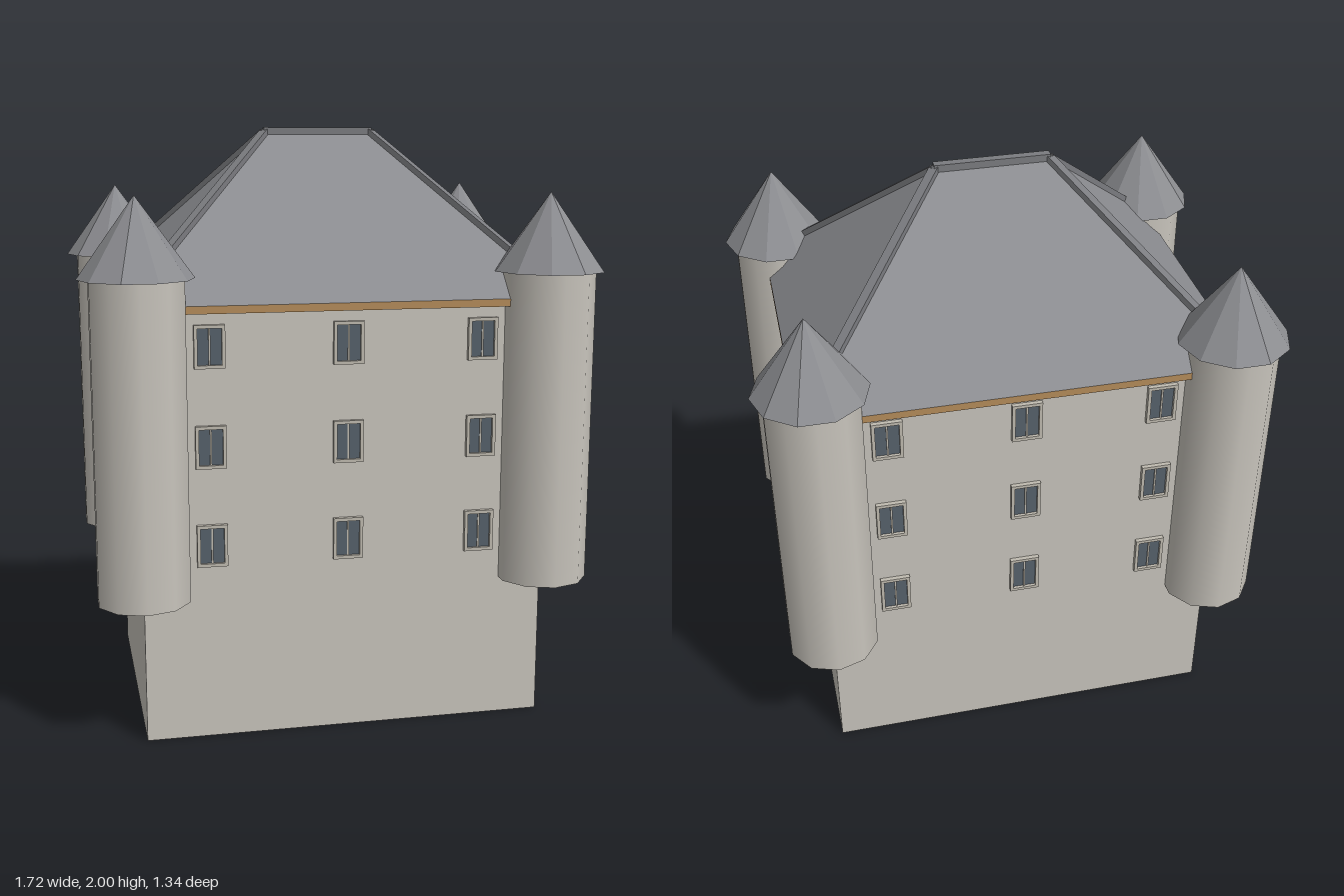
import * as THREE from 'three';

const mat = (name, color, side = THREE.FrontSide, flatShading = false) => {
  const m = new THREE.MeshStandardMaterial({ color, side, flatShading });
  m.name = name;
  return m;
};

export function createModel() {
  const stone = mat('pale stone', 0xc8c4bc, THREE.DoubleSide);
  const slate = mat('grey slate', 0x8c8d91, THREE.DoubleSide, true);
  const ridgeMat = mat('dark ridge slate', 0x7b7c80);
  const wood = mat('tan eaves', 0xb58c5a);
  const frameMat = mat('window stone', 0xc0bbb0);
  const glassMat = mat('dark glass', 0x56616b);

  const root = new THREE.Group();
  root.name = 'castle';
  const add = (parent, name, geo, material, x = 0, y = 0, z = 0) => {
    const m = new THREE.Mesh(geo, material);
    m.name = name;
    m.position.set(x, y, z);
    parent.add(m);
    return m;
  };

  const W = 0.677, D = 0.496, WALL = 1.43; // half width, half depth, wall height
  const EX = 0.726, EZ = 0.545, EAVE = 1.45; // eaves
  const RX = 0.185, TOP = 1.988; // ridge

  // Window: frame with a hole, glass and a thin mullion, set through the wall
  const rect = (s, w, h) => s.moveTo(-w, -h).lineTo(w, -h).lineTo(w, h).lineTo(-w, h).closePath();
  const frameShape = rect(new THREE.Shape(), 0.05, 0.07);
  frameShape.holes.push(rect(new THREE.Path(), 0.039, 0.059));
  const frameGeo = new THREE.ExtrudeGeometry(frameShape, { depth: 0.03, bevelEnabled: false });
  frameGeo.translate(0, 0, -0.015);
  const glassGeo = new THREE.BoxGeometry(0.08, 0.12, 0.009);
  const mullionGeo = new THREE.BoxGeometry(0.006, 0.12, 0.018);

  // Four walls, open underneath, each with its rows of windows
  for (let i = 0; i < 4; i++) {
    const side = new THREE.Group();
    side.name = ['frontWall', 'leftWall', 'backWall', 'rightWall'][i];
    side.rotation.y = i * Math.PI / 2;
    const [half, dist, columns] = i % 2 ? [D, W, [-0.248, 0.248]] : [W, D, [-0.452, 0, 0.452]];
    add(side, 'wall', new THREE.PlaneGeometry(half * 2, WALL), stone, 0, WALL / 2, dist);
    for (const x of columns) {
      for (const y of [0.662, 0.99, 1.316]) {
        const win = new THREE.Group();
        win.name = 'window';
        win.position.set(x, y, dist);
        add(win, 'windowFrame', frameGeo, frameMat);
        add(win, 'windowGlass', glassGeo, glassMat);
        add(win, 'windowMullion', mullionGeo, frameMat);
        side.add(win);
      }
    }
    root.add(side);
  }

  // Eaves board
  add(root, 'eaves', new THREE.BoxGeometry(EX * 2, 0.025, EZ * 2), wood, 0, EAVE - 0.0125, 0);

  // Hipped roof: four eave corners and two ridge ends
  const roofGeo = new THREE.BufferGeometry();
  roofGeo.setAttribute('position', new THREE.Float32BufferAttribute([
    -EX, EAVE, EZ, EX, EAVE, EZ, EX, EAVE, -EZ, -EX, EAVE, -EZ,
    -RX, TOP, 0, RX, TOP, 0], 3));
  roofGeo.setIndex([0, 1, 5, 0, 5, 4, 1, 2, 5, 2, 3, 4, 2, 4, 5, 3, 0, 4]);
  const roof = roofGeo.toNonIndexed();
  roof.computeVertexNormals();
  add(root, 'roof', roof, slate);

  // Ridge and hip cappings
  const bar = (name, a, b) => {
    const m = add(root, name, new THREE.BoxGeometry(0.03, 0.024, a.distanceTo(b)), ridgeMat);
    m.position.copy(a).lerp(b, 0.5);
    m.lookAt(b);
  };
  bar('ridge', new THREE.Vector3(-RX - 0.006, TOP, 0), new THREE.Vector3(RX + 0.006, TOP, 0));

  // Corner turrets with ten-sided pointed roofs
  const turretGeo = new THREE.CylinderGeometry(0.155, 0.155, 1.045, 10);
  const coneGeo = new THREE.ConeGeometry(0.185, 0.257, 10, 1, false, Math.PI / 2);
  for (const sx of [-1, 1]) {
    for (const sz of [-1, 1]) {
      bar('hip', new THREE.Vector3(sx * RX, TOP - 0.003, 0), new THREE.Vector3(sx * EX, EAVE, sz * EZ));
      add(root, 'turret', turretGeo, stone, sx * W, 1.0125, sz * D);
      add(root, 'turretRoof', coneGeo, slate, sx * W, 1.6635, sz * D);
    }
  }
  return root;
}
